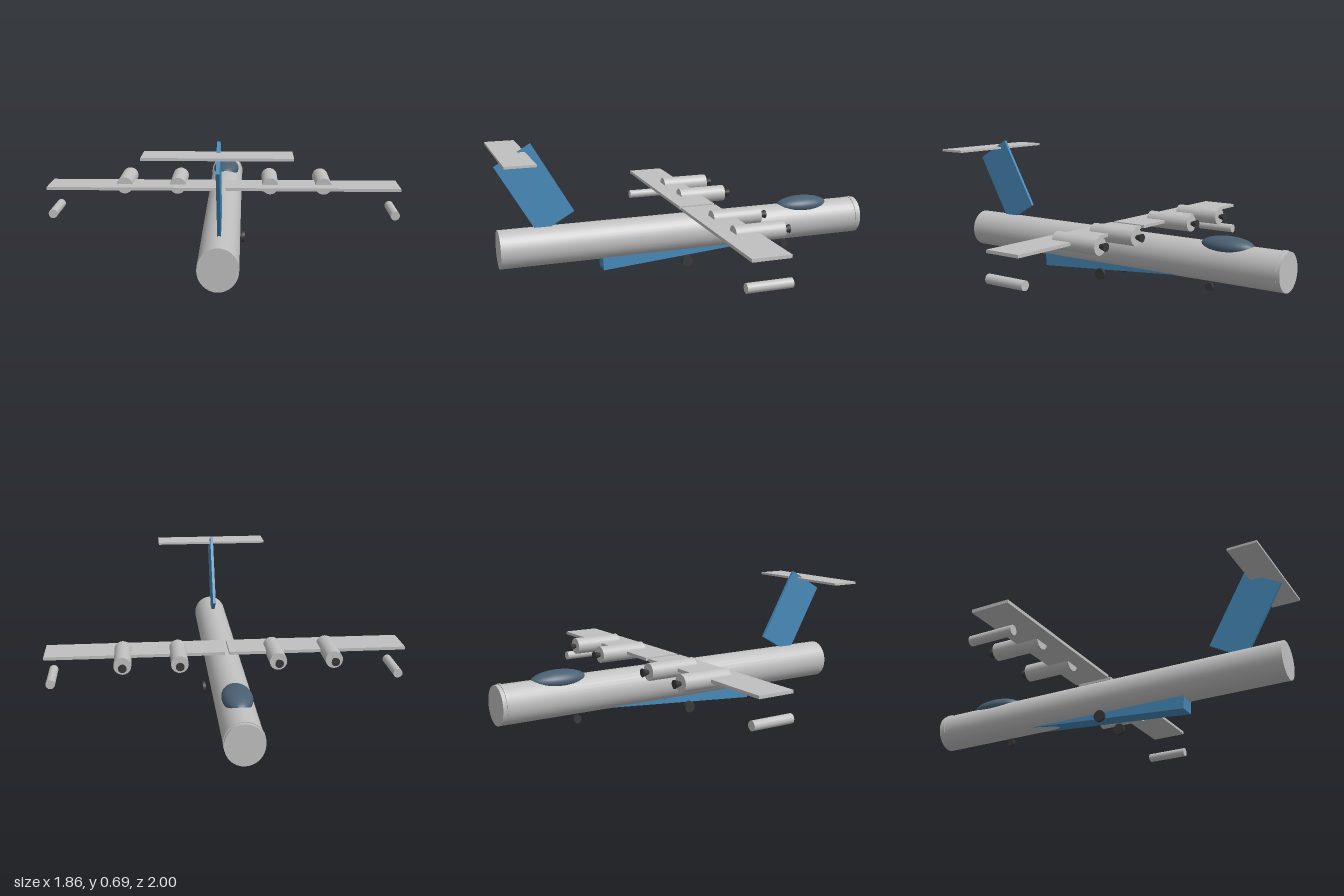
import * as THREE from 'three';

const paint = (name, color) => {
  const m = new THREE.MeshStandardMaterial({ color });
  m.name = name;
  return m;
};

export function createModel() {
  const model = new THREE.Group();
  model.name = 'aeroplane';
  const grey = paint('silver', 0xc0c0c0);
  const blue = paint('steelBlue', 0x4689b8);
  const glass = paint('canopyGlass', 0x4a6072);
  const dark = paint('darkGrey', 0x383838);

  const add = (name, geometry, material, x, y, z) => {
    const mesh = new THREE.Mesh(geometry, material);
    mesh.name = name;
    mesh.position.set(x, y, z);
    model.add(mesh);
    return mesh;
  };
  // Cylinder lying along z; the first radius is the rear (+z) end
  const tube = (rear, front, length, sides = 24) =>
    new THREE.CylinderGeometry(rear, front, length, sides).rotateX(Math.PI / 2);

  // Fuselage, slightly taller than wide, nose towards -z
  add('fuselage', tube(1, 1, 1.995, 32).scale(0.092, 0.099, 1), grey, 0, 0.162, 0);
  add('noseRing', tube(1, 1, 0.012, 32).scale(0.095, 0.098, 1), grey, 0, 0.167, -0.972);
  add('canopy', new THREE.SphereGeometry(1, 32, 20).scale(0.073, 0.047, 0.146), glass, 0, 0.25, -0.67);

  // Tilted belly fairing
  const belly = add('bellyFairing', new THREE.BoxGeometry(0.087, 0.08, 0.94), blue, 0, 0.083, 0.005);
  belly.rotation.x = 0.076;

  // Swept fin and tailplane
  const fin = add('tailFin', new THREE.BoxGeometry(0.016, 0.414, 0.213), blue, 0, 0.455, 0.805);
  fin.rotation.x = Math.PI / 6;
  add('tailplane', new THREE.BoxGeometry(0.637, 0.012, 0.152), grey, -0.002, 0.643, 0.922);

  // Wings, engines, tip tanks and main wheels on both sides
  for (const [side, s] of [['left', 1], ['right', -1]]) {
    add(side + 'Wing', new THREE.BoxGeometry(0.92, 0.016, 0.196), grey, s * 0.472 - 0.002, 0.286, -0.06);
    for (const [place, x] of [['Inner', 0.247], ['Outer', 0.531]]) {
      add(side + place + 'Engine', tube(0.044, 0.044, 0.26), grey, s * x, 0.286, -0.171);
      add(side + place + 'Spinner', tube(0.007, 0.022, 0.045, 12), dark, s * x, 0.286, -0.314);
    }
    add(side + 'TipTank', tube(0.024, 0.024, 0.226, 20), grey, s * 0.902, 0.152, -0.06);
    add(side + 'Wheel', new THREE.CylinderGeometry(0.03, 0.03, 0.016, 20).rotateZ(Math.PI / 2), dark, s * 0.105, 0.03, 0.037);
  }
  add('noseWheel', new THREE.CylinderGeometry(0.021, 0.021, 0.016, 20).rotateZ(Math.PI / 2), dark, 0, 0.031, -0.57);

  return model;
}
